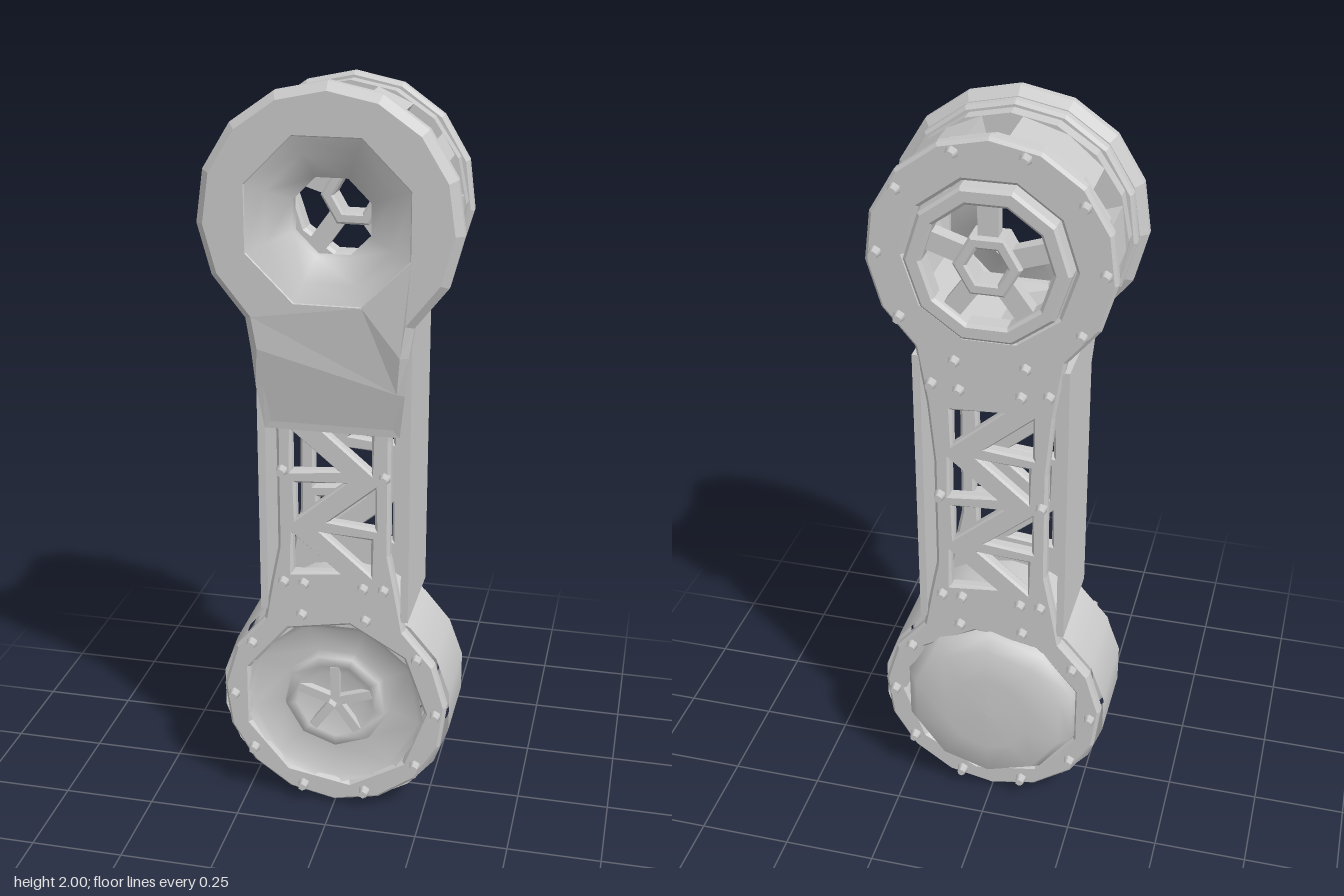
import * as THREE from 'three';

const TOP = 1.67, LOW = 0.32; // heights of the two joint centres
const mat = new THREE.MeshStandardMaterial({ color: 0xcccccc, side: THREE.DoubleSide });

function add(parent, name, geo, x = 0, y = 0, z = 0) {
  const m = new THREE.Mesh(geo, mat);
  m.name = name;
  m.position.set(x, y, z);
  parent.add(m);
  return m;
}

// points on an arc, angles in degrees
function arc(cx, cy, r, a0, a1, n) {
  return Array.from({ length: n + 1 }, (_, i) => {
    const a = THREE.MathUtils.degToRad(a0 + (a1 - a0) * i / n);
    return new THREE.Vector2(cx + r * Math.cos(a), cy + r * Math.sin(a));
  });
}
const ngon = (cx, cy, r, n, turn = 0) => arc(cx, cy, r, turn, turn + 360 * (n - 1) / n, n - 1);
const pts = list => list.map(p => new THREE.Vector2(p[0], p[1]));

function slab(outline, holes, z0, z1, bevel = 0) {
  const s = new THREE.Shape(outline);
  holes.forEach(h => s.holes.push(new THREE.Path(h)));
  const g = new THREE.ExtrudeGeometry(s, {
    depth: z1 - z0 - 2 * bevel, bevelEnabled: bevel > 0, bevelSize: bevel,
    bevelThickness: bevel, bevelOffset: -bevel, bevelSegments: 1, curveSegments: 1,
  });
  return g.translate(0, 0, z0 + bevel);
}

// turned part around the z axis, profile as [radius, z]
const turned = (profile, sides) => new THREE.LatheGeometry(pts(profile), sides).rotateX(Math.PI / 2);

// dumbbell-shaped side plate with a lattice neck
function plateGeometry(z0, z1, flip) {
  const outline = [
    ...arc(0, TOP, 0.31, -52, 232, 12),
    ...pts([[-0.165, 1.27], [-0.15, 1.1], [-0.15, 0.78], [-0.17, 0.68]]),
    ...arc(0, LOW, 0.31, 128, 412, 12),
    ...pts([[0.17, 0.68], [0.15, 0.78], [0.15, 1.1], [0.165, 1.27]]),
  ];
  const holes = [ngon(0, TOP, 0.21, 10), ngon(0, LOW, 0.25, 9)];
  // zigzag of triangular openings
  for (let i = 0; i < 4; i++) {
    const y = 0.71 + i * 0.145, s = (i % 2 ? -1 : 1) * flip;
    holes.push(pts([[-0.11 * s, y], [-0.11 * s, y + 0.11], [0.01 * s, y + 0.01]]));
    holes.push(pts([[0.1 * s, y + 0.01], [0.1 * s, y + 0.11], [-0.03 * s, y + 0.12]]));
  }
  return slab(outline, holes, z0, z1, 0.008);
}

// notched ring between the plates of the upper joint
function drumOutline() {
  const notches = [-15, 15, 47, 86, 152, 195], half = 10, out = [];
  notches.forEach((a, i) => {
    out.push(...arc(0, TOP, 0.29, a - half, a - half, 0 + 1).slice(0, 1));
    out.push(...arc(0, TOP, 0.235, a - half, a + half, 2));
    const next = i + 1 < notches.length ? notches[i + 1] : notches[0] + 360;
    const n = Math.max(1, Math.round((next - a - 2 * half) / 20));
    out.push(...arc(0, TOP, 0.29, a + half, next - half, n).slice(0, n));
  });
  return out;
}

function bolts(parent, name, places, z, side) {
  const set = new THREE.Group();
  set.name = name;
  const head = new THREE.CylinderGeometry(0.011, 0.017, 0.026, 6).rotateX(side * Math.PI / 2);
  places.forEach(p => add(set, 'boltHead', head, p.x, p.y, z));
  parent.add(set);
}

export function createModel() {
  const root = new THREE.Group();
  root.name = 'armLink';

  // main plates and side walls
  add(root, 'frontPlate', plateGeometry(0.105, 0.142, 1));
  add(root, 'backPlate', plateGeometry(-0.142, -0.105, -1));
  for (const s of [-1, 1]) {
    add(root, s > 0 ? 'leftWall' : 'rightWall', new THREE.BoxGeometry(0.02, 0.81, 0.275), s * 0.19, 0.995, 0);
  }

  // upper joint drum with pockets
  const bore = ngon(0, TOP, 0.2, 12);
  add(root, 'upperDrum', slab(drumOutline(), [bore], -0.07, 0.07));
  for (const z of [-0.11, 0.065]) {
    add(root, 'upperDrumRim', slab(ngon(0, TOP, 0.295, 16), [bore], z, z + 0.045));
  }

  // front cover: round head, tongue thinning towards its lower end
  const cover = slab([
    ...arc(0, TOP, 0.33, -50, 230, 12),
    ...pts([[-0.2, 1.34], [-0.19, 1.24], [-0.175, 1.12], [0.175, 1.12], [0.19, 1.24], [0.2, 1.34]]),
  ], [ngon(0, TOP, 0.2, 8, 22.5)], 0.14, 0.2, 0.02);
  const p = cover.attributes.position;
  for (let i = 0; i < p.count; i++) {
    const limit = 0.155 + Math.max(0, p.getY(i) - 1.13) * 0.2;
    if (p.getZ(i) > limit) p.setZ(i, limit);
  }
  cover.computeVertexNormals();
  add(root, 'frontCover', cover);
  add(root, 'coverFunnel', turned([[0.225, 0.2], [0.17, 0.178], [0.105, 0.145], [0.105, 0.115]], 8), 0, TOP, 0)
    .rotation.z = Math.PI / 8;

  // back hub of the upper joint: rings and spokes
  const hub = new THREE.Group();
  hub.name = 'backHub';
  hub.position.y = TOP;
  root.add(hub);
  add(hub, 'hubRing', slab(ngon(0, 0, 0.205, 10), [ngon(0, 0, 0.16, 10)], -0.17, -0.11, 0.008));
  add(hub, 'hubCore', slab(ngon(0, 0, 0.085, 6), [ngon(0, 0, 0.05, 6)], -0.165, -0.09, 0.006));
  for (let i = 0; i < 5; i++) {
    const a = Math.PI / 2 + i * Math.PI * 0.4;
    add(hub, 'hubSpoke', new THREE.BoxGeometry(0.11, 0.05, 0.04), 0.12 * Math.cos(a), 0.12 * Math.sin(a), -0.13)
      .rotation.z = a;
  }

  // lower joint: barrel, stepped front dish, back cap
  add(root, 'lowerBarrel', new THREE.CylinderGeometry(0.318, 0.318, 0.23, 18, 1, true).rotateX(Math.PI / 2), 0, LOW, 0);
  add(root, 'frontDish', turned([[0.255, 0.14], [0.235, 0.125], [0.15, 0.1], [0.14, 0.125], [0.11, 0.125], [0.08, 0.105], [0, 0.105]], 9), 0, LOW, 0);
  for (let i = 0; i < 5; i++) {
    const a = Math.PI / 2 + i * Math.PI * 0.4;
    add(root, 'dishRib', new THREE.BoxGeometry(0.09, 0.025, 0.025), 0.06 * Math.cos(a), LOW + 0.06 * Math.sin(a), 0.115)
      .rotation.z = a;
  }
  add(root, 'backCap', turned([[0.255, -0.125], [0.245, -0.155], [0.215, -0.19], [0.12, -0.2], [0, -0.203]], 10), 0, LOW + 0.005, 0);

  // bolt heads
  const neck = [];
  for (const s of [-1, 1]) {
    for (const y of [0.68, 1.0]) neck.push(new THREE.Vector2(s * 0.135, y));
    neck.push(new THREE.Vector2(s * 0.08, 0.68), new THREE.Vector2(s * 0.08, 1.32), new THREE.Vector2(s * 0.15, 1.33), new THREE.Vector2(s * 0.09, 1.4));
  }
  const lowRing = ngon(0, LOW, 0.28, 10, 0);
  bolts(root, 'frontBolts', [...lowRing, ...neck.filter(b => b.y < 1.1)], 0.152, 1);
  bolts(root, 'backBolts', [...lowRing, ...neck, ...arc(0, TOP, 0.28, -36, 216, 7)], -0.152, -1);
  bolts(root, 'coverBolts', arc(0, TOP, 0.275, -36, 216, 7), 0.187, 1);
  return root;
}
